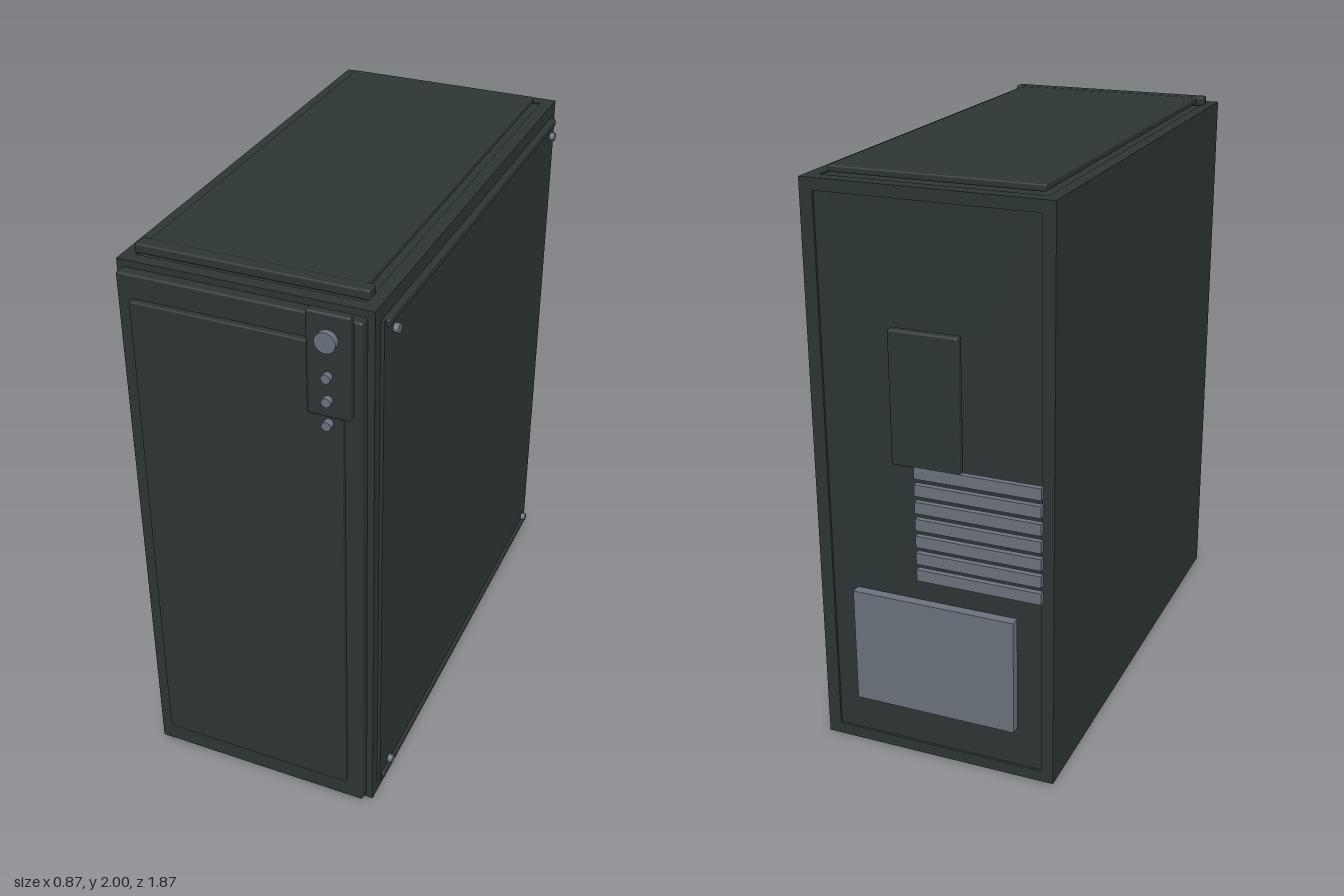
import * as THREE from 'three';
import { RoundedBoxGeometry } from 'three/addons/geometries/RoundedBoxGeometry.js';

export function createModel() {
  const model = new THREE.Group();
  model.name = 'computerTower';

  const casing = new THREE.MeshStandardMaterial({ color: 0x2d3635 });
  casing.name = 'charcoal casing';
  const metal = new THREE.MeshStandardMaterial({ color: 0x6b737d });
  metal.name = 'grey metal';

  // Box given by its extents; an optional radius softens the edges
  function block(name, [x0, x1], [y0, y1], [z0, z1], material = casing, radius = 0) {
    const size = [x1 - x0, y1 - y0, z1 - z0];
    const geometry = radius
      ? new RoundedBoxGeometry(...size, 2, radius)
      : new THREE.BoxGeometry(...size);
    const mesh = new THREE.Mesh(geometry, material);
    mesh.name = name;
    mesh.position.set((x0 + x1) / 2, (y0 + y1) / 2, (z0 + z1) / 2);
    model.add(mesh);
    return mesh;
  }

  // Short cylinder whose axis runs along x or z
  function knob(name, axis, radius, depth, x, y, z, sides) {
    const geometry = new THREE.CylinderGeometry(radius, radius, depth, sides);
    if (axis === 'x') geometry.rotateZ(-Math.PI / 2);
    else geometry.rotateX(Math.PI / 2);
    const mesh = new THREE.Mesh(geometry, metal);
    mesh.name = name;
    mesh.position.set(x, y, z);
    model.add(mesh);
  }

  // Case: inner chassis between two side walls and end frames
  block('chassis', [-0.4, 0.36], [0.002, 1.965], [-0.88, 0.835]);
  block('rightWall', [-0.437, -0.395], [0, 1.97], [-0.888, 0.845]);
  block('leftWall', [0.355, 0.4], [0, 1.97], [-0.888, 0.845]);
  block('rearTopRail', [-0.395, 0.355], [1.93, 1.97], [-0.888, -0.84]);
  block('rearBottomRail', [-0.395, 0.355], [0, 0.04], [-0.888, -0.84]);
  block('frontTopRail', [-0.395, 0.355], [1.93, 1.97], [0.8, 0.845]);
  block('frontBottomRail', [-0.395, 0.355], [0, 0.04], [0.8, 0.845]);

  // Top cover with its front lip
  block('topCover', [-0.38, 0.335], [1.975, 1.998], [-0.825, 0.77], casing, 0.006);
  block('topCoverLip', [-0.405, 0.36], [1.968, 2], [0.74, 0.79], casing, 0.006);

  // Removable side panel with rails and thumbscrews
  block('sidePanel', [0.398, 0.412], [0.05, 1.92], [-0.85, 0.805]);
  for (const y of [0.07, 1.907])
    block('sidePanelRail', [0.4, 0.422], [y - 0.013, y + 0.013], [-0.835, 0.79], casing, 0.005);
  for (const y of [0.11, 1.87])
    for (const z of [-0.79, 0.74])
      knob('thumbscrew', 'x', 0.015, 0.018, 0.426, y, z, 12);

  // Front bezel and door
  block('frontBezel', [-0.42, 0.378], [0.022, 1.948], [0.84, 0.885], casing, 0.008);
  block('frontDoor', [-0.37, 0.322], [0.11, 1.868], [0.878, 0.906], casing, 0.006);

  // Control strip with power button and small buttons
  block('controlStrip', [0.213, 0.353], [1.628, 1.975], [0.882, 0.914], casing, 0.008);
  knob('powerButton', 'z', 0.034, 0.024, 0.283, 1.89, 0.922, 24);
  for (const y of [1.77, 1.69, 1.608])
    knob('smallButton', 'z', 0.016, 0.024, 0.283, y, 0.922, 8);

  // Rear fittings: connector plate, expansion slots, power supply
  block('connectorPlate', [-0.14, 0.097], [1.085, 1.535], [-0.932, -0.9], casing, 0.008);
  for (let i = 0; i < 7; i++) {
    const y = 0.709 + i * 0.06;
    block('expansionSlot', [-0.41, 0.02], [y - 0.02, y + 0.02], [-0.931, -0.911], metal);
  }
  block('powerSupply', [-0.308, 0.266], [0.183, 0.592], [-0.914, -0.878], metal);

  return model;
}
